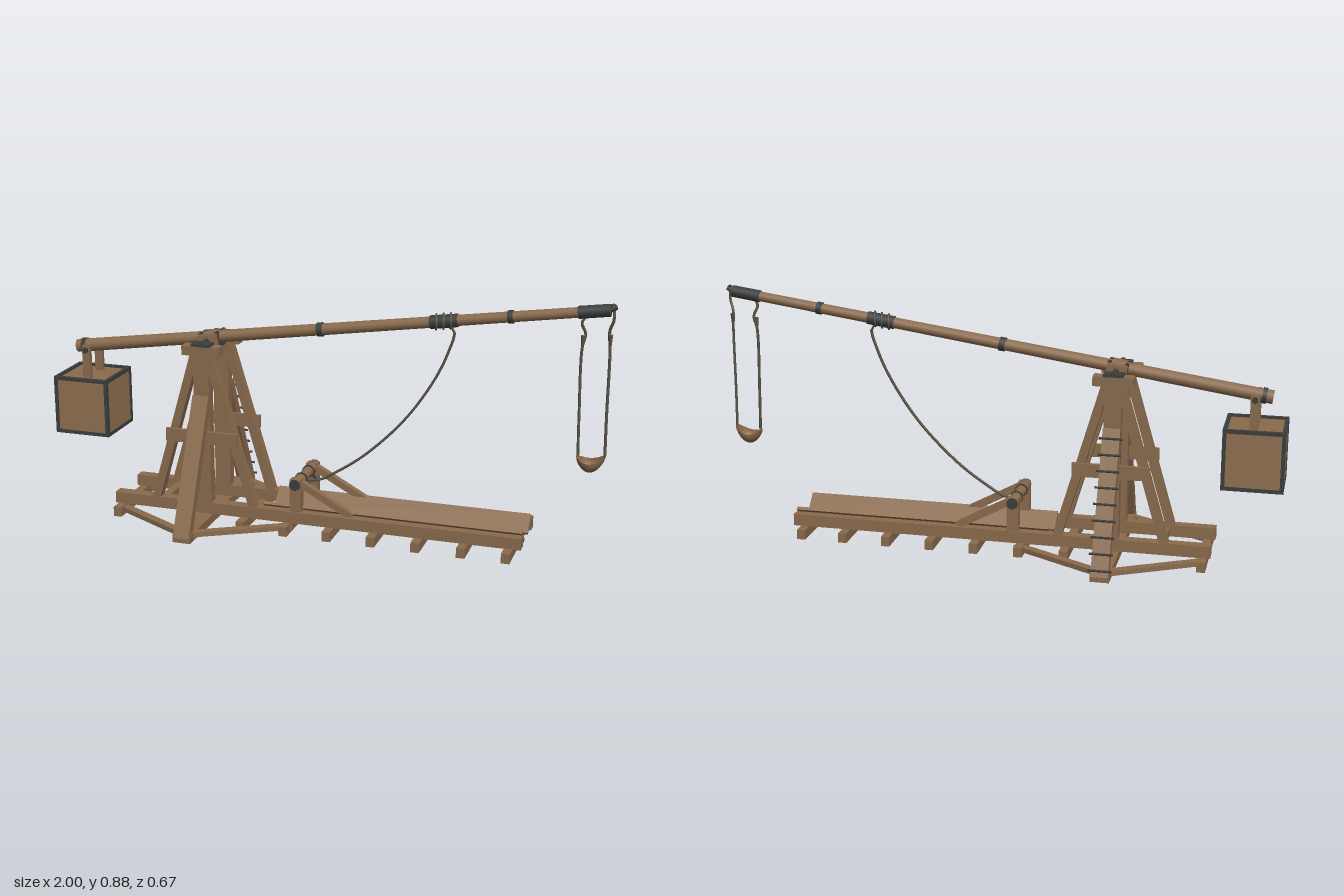
import * as THREE from 'three';

const V = (x, y, z) => new THREE.Vector3(x, y, z);
const mat = (name, color, side = THREE.FrontSide) => {
  const m = new THREE.MeshStandardMaterial({ color, side });
  m.name = name;
  return m;
};

export function createModel() {
  const root = new THREE.Group();
  root.name = 'siegeEngine';
  const wood = mat('wood', 0x8a6b4d);
  const iron = mat('iron', 0x3b3f3c);
  const rope = mat('rope', 0x5c564a);
  const leather = mat('leather', 0x8a6748, THREE.DoubleSide);

  const add = (name, geo, material, parent = root) => {
    const m = new THREE.Mesh(geo, material);
    m.name = name;
    parent.add(m);
    return m;
  };
  const box = (name, w, h, d, x, y, z, material = wood) => {
    const m = add(name, new THREE.BoxGeometry(w, h, d), material);
    m.position.set(x, y, z);
    return m;
  };
  // Square beam from a to b; depth is measured along the hint direction
  const beam = (name, a, b, width, depth, hint = V(0, 0, 1), material = wood) => {
    const dir = b.clone().sub(a);
    const m = add(name, new THREE.BoxGeometry(width, dir.length(), depth), material);
    const y = dir.normalize();
    const x = y.clone().cross(hint).normalize();
    m.quaternion.setFromRotationMatrix(new THREE.Matrix4().makeBasis(x, y, x.clone().cross(y)));
    m.position.copy(a).add(b).multiplyScalar(0.5);
    return m;
  };
  // Round rod from a to b
  const rod = (name, a, b, ra, rb = ra, material = wood, sides = 12) => {
    const dir = b.clone().sub(a);
    const geo = new THREE.CylinderGeometry(rb, ra, dir.length(), sides);
    const m = add(name, geo, material);
    m.quaternion.setFromUnitVectors(V(0, 1, 0), dir.normalize());
    m.position.copy(a).add(b).multiplyScalar(0.5);
    return m;
  };
  const cord = (name, points, r = 0.005) => add(name,
    new THREE.TubeGeometry(new THREE.CatmullRomCurve3(points), 40, r, 6), rope);

  const towerX = -0.42;

  // Base: cross ties and outrigger sill
  for (const x of [-0.74, -0.265, -0.105, 0.055, 0.215, 0.375, 0.535, 0.69])
    box('crossTie', 0.03, 0.035, 0.325, x, 0.0175, 0);
  box('innerTie', 0.03, 0.03, 0.17, -0.59, 0.052, 0);
  box('outriggerSill', 0.065, 0.03, 0.655, towerX, 0.015, 0);

  for (const s of [1, -1]) {
    // Long side rails and flat outrigger struts
    box('sideRail', 1.5, 0.042, 0.04, -0.017, 0.055, s * 0.095);
    for (const dx of [-0.33, 0.33])
      beam('outriggerStrut', V(towerX + dx, 0.021, s * 0.11), V(towerX, 0.021, s * 0.295), 0.03, 0.017, V(0, 1, 0));

    // Tower: post, slanted legs, crossboard and side brace
    box('towerPost', 0.058, 0.625, 0.038, towerX, 0.345, s * 0.094);
    for (const d of [-1, 1]) {
      beam('towerLeg', V(towerX + d * 0.187, 0.07, s * 0.094), V(towerX + d * 0.02, 0.64, s * 0.094), 0.03, 0.035);
      beam('legKnee', V(towerX + d * 0.025, 0.5, s * 0.07), V(towerX + d * 0.012, 0.62, s * 0.073), 0.018, 0.016);
    }
    box('towerCrossboard', 0.27, 0.047, 0.014, towerX, 0.322, s * 0.118);
    beam('sideBrace', V(towerX, 0.012, s * 0.318), V(towerX, 0.47, s * 0.107), 0.034, 0.06, V(1, 0, 0));

    // Bearing cap and its iron plate
    box('bearingCap', 0.14, 0.034, 0.045, towerX, 0.636, s * 0.094);
    box('capPlate', 0.07, 0.009, 0.047, towerX, 0.657, s * 0.094, iron);

    // Winch post, brace and drum collar
    box('winchPost', 0.042, 0.125, 0.032, -0.075, 0.132, s * 0.093);
    beam('winchBrace', V(0.13, 0.075, s * 0.087), V(-0.06, 0.178, s * 0.087), 0.024, 0.024);
    rod('drumCollar', V(-0.075, 0.178, s * 0.105), V(-0.075, 0.178, s * 0.117), 0.02, 0.02, iron);
    rod('drumBand', V(-0.075, 0.178, s * 0.036), V(-0.075, 0.178, s * 0.046), 0.023, 0.023, iron);
    beam('drumSpike', V(-0.06, 0.165, s * 0.05), V(-0.045, 0.157, s * 0.03), 0.008, 0.008, V(0, 0, 1), iron);

    // Tilted board of the projectile trough
    beam('troughBoard', V(0.265, 0.038, s * 0.033), V(0.265, 0.09, s * 0.086), 0.012, 0.93, V(1, 0, 0));

    // Counterweight hanger
    box('counterweightHanger', 0.03, 0.12, 0.016, -0.89, 0.543, s * 0.05);
    rod('hangerNut', V(-0.89, 0.587, s * 0.058), V(-0.89, 0.587, s * 0.067), 0.011, 0.011, iron, 6);
  }

  // Climbing rungs up the rear brace
  for (let i = 0; i < 9; i++) {
    const y = 0.04 + i * 0.0507, z = -0.326 + i * 0.0231;
    rod('rung', V(towerX - 0.04, y, z), V(towerX + 0.04, y, z), 0.004, 0.004, iron, 6);
    for (const d of [-0.022, 0.022])
      rod('rungPin', V(towerX + d, y, z), V(towerX + d, y - 0.008, z + 0.02), 0.003, 0.003, iron, 5);
  }

  // Winch drum, slimmer in the middle
  const drum = add('winchDrum', new THREE.LatheGeometry([
    [0, -0.11], [0.021, -0.11], [0.021, -0.05], [0.017, 0], [0.021, 0.05], [0.021, 0.11], [0, 0.11],
  ].map(([x, y]) => new THREE.Vector2(x, y)), 12), wood);
  drum.rotation.x = Math.PI / 2;
  drum.position.set(-0.075, 0.178, 0);

  // Throwing arm with iron bands
  const armY = x => 0.722 + 0.1437 * x;
  const armR = x => 0.021 - 0.0035 * x;
  const onArm = x => V(x, armY(x), 0);
  rod('throwingArm', onArm(-0.947), onArm(0.975), armR(-0.95), armR(0.975), wood, 12);
  const bands = [[-0.925, -0.91], [-0.025, -0.005], [0.375, 0.47], [0.64, 0.658], [0.872, 0.975]];
  for (const [a, b] of bands)
    rod('armBand', onArm(a), onArm(b), armR(a) + 0.004, armR(b) + 0.004, iron, 12);
  rod('armHook', onArm(0.97), V(0.996, 0.872, 0), 0.01, 0.007, iron, 8);
  const ring = add('hookRing', new THREE.TorusGeometry(0.009, 0.004, 6, 12), iron);
  ring.position.set(0.984, 0.872, 0);

  // Pivot block and axle
  box('pivotBlock', 0.07, 0.052, 0.1, towerX, 0.652, 0).rotation.z = 0.143;
  rod('axle', V(towerX, 0.658, -0.115), V(towerX, 0.658, 0.115), 0.01, 0.01, iron);
  for (const d of [-0.03, 0.03])
    box('pivotStrap', 0.012, 0.056, 0.06, towerX + d, 0.654 + d * 0.14, 0, iron).rotation.z = 0.143;
  rod('hangerPin', V(-0.89, 0.587, -0.062), V(-0.89, 0.587, 0.062), 0.006, 0.006, iron, 8);

  // Counterweight crate: core, overlapping planks, iron edges
  const cx = -0.895, cy = 0.386, half = 0.1;
  box('crateCore', 0.194, 0.196, 0.194, cx, cy, 0);
  for (let side = 0; side < 4; side++) {
    const wall = new THREE.Group();
    wall.name = 'crateWall';
    wall.position.set(cx, cy, 0);
    wall.rotation.y = side * Math.PI / 2;
    root.add(wall);
    for (let i = 0; i < 5; i++) {
      const plank = add('cratePlank', new THREE.BoxGeometry(0.186, 0.038, 0.008), wood, wall);
      plank.position.set(0, (i - 2) * 0.0375, 0.097);
      plank.rotation.set(-0.1, 0, (i % 2 - 0.5) * 0.02);
    }
  }
  const e = 0.013;
  for (const a of [-1, 1]) for (const b of [-1, 1]) {
    box('crateEdge', 0.21, e, e, cx, cy + a * half, b * 0.0985, iron);
    box('crateEdge', e, e, 0.21, cx + b * 0.0985, cy + a * half, 0, iron);
    box('crateEdge', e, 0.2, e, cx + a * 0.0985, cy, b * 0.0985, iron);
  }

  // Haul rope from the arm down to the winch
  cord('haulRope', [V(0.43, 0.768, 0), V(0.458, 0.755, 0), V(0.437, 0.67, 0), V(0.385, 0.56, 0), V(0.285, 0.415, 0),
    V(0.145, 0.275, 0), V(0.04, 0.2, 0), V(-0.02, 0.166, 0), V(-0.065, 0.16, 0)]);
  for (const x of [0.395, 0.42, 0.445]) {
    const loop = add('ropeLoop', new THREE.TorusGeometry(0.026, 0.004, 6, 14), rope);
    loop.rotation.set(0, Math.PI / 2 + 0.25, 0);
    loop.position.copy(onArm(x));
  }

  // Sling ropes with knots
  cord('slingRope', [V(0.9, 0.84, 0.004), V(0.885, 0.815, 0.006), V(0.898, 0.775, -0.004), V(0.889, 0.73, 0),
    V(0.89, 0.5, 0), V(0.893, 0.355, 0)]);
  cord('slingRope', [V(0.986, 0.865, 0), V(0.988, 0.83, 0.005), V(0.975, 0.79, -0.005), V(0.98, 0.73, 0),
    V(0.981, 0.5, 0), V(0.983, 0.365, 0)]);
  for (const [x, y] of [[0.89, 0.735], [0.98, 0.745]])
    rod('slingKnot', V(x, y, 0), V(x, y + 0.035, 0), 0.005, 0.008, rope, 6);

  // Sling pouch: a bowl with raised ends
  const bowl = new THREE.SphereGeometry(1, 16, 6, 0, Math.PI * 2, Math.PI / 2, Math.PI / 2);
  const p = bowl.attributes.position;
  for (let i = 0; i < p.count; i++) {
    const x = p.getX(i);
    p.setXYZ(i, x * 0.05, p.getY(i) * 0.038 + 0.022 * x * x + 0.006 * x, p.getZ(i) * 0.036);
  }
  bowl.computeVertexNormals();
  add('slingPouch', bowl, leather).position.set(0.937, 0.338, 0);

  return root;
}
